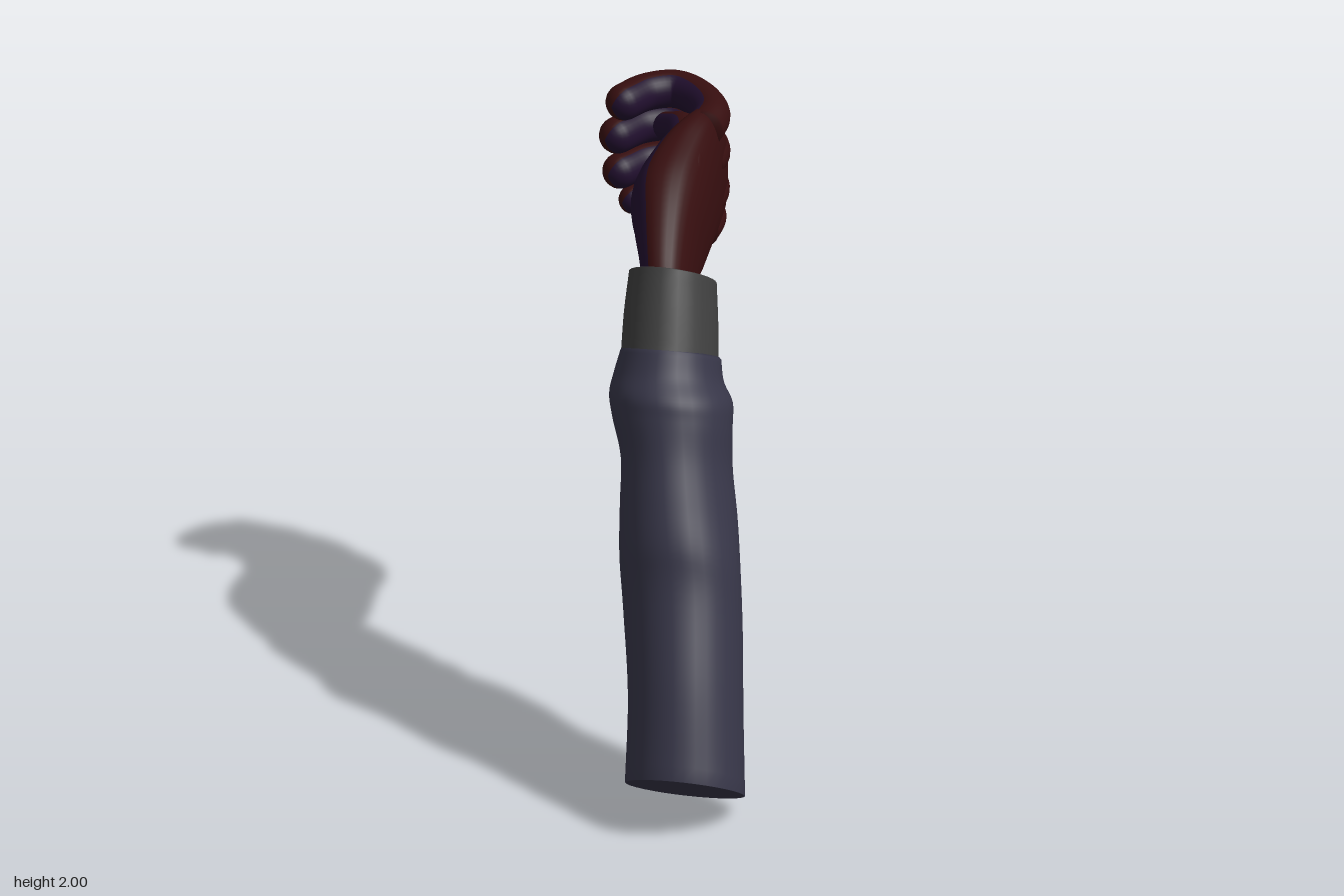
import * as THREE from 'three';

const SEG = 32;
const V = (x, y, z) => new THREE.Vector3(x, y, z);

// Ring = centre c with half axes u and v; u x v points along the loft.
const scaled = (r, s, shift = V(0, 0, 0)) => ({
  c: r.c.clone().add(shift), u: r.u.clone().multiplyScalar(s), v: r.v.clone().multiplyScalar(s),
});

// Skin the rings; group 1 holds the faces on the -v (palm) side.
function loft(rings, { power = 1, capStart = true, capEnd = true, palmLimit = -2 } = {}) {
  const pos = [];
  const main = [], palm = [];
  const bend = (t) => Math.sign(t) * Math.abs(t) ** power;
  for (const r of rings) {
    for (let j = 0; j < SEG; j++) {
      const a = (j / SEG) * Math.PI * 2;
      const p = r.c.clone().addScaledVector(r.u, bend(Math.cos(a))).addScaledVector(r.v, bend(Math.sin(a)));
      pos.push(p.x, p.y, p.z);
    }
  }
  const n = rings.length;
  const first = n * SEG, last = first + 1;
  pos.push(...rings[0].c.toArray(), ...rings[n - 1].c.toArray());
  for (let j = 0; j < SEG; j++) {
    const k = (j + 1) % SEG;
    const out = Math.sin(((j + 0.5) / SEG) * Math.PI * 2) < palmLimit ? palm : main;
    for (let i = 0; i < n - 1; i++) {
      const a = i * SEG + j, b = i * SEG + k;
      out.push(a, b, b + SEG, a, b + SEG, a + SEG);
    }
    if (capStart) out.push(first, k, j);
    if (capEnd) out.push(last, (n - 1) * SEG + j, (n - 1) * SEG + k);
  }
  const g = new THREE.BufferGeometry();
  g.setAttribute('position', new THREE.Float32BufferAttribute(pos, 3));
  g.setIndex([...main, ...palm]);
  g.addGroup(0, main.length, 0);
  g.addGroup(main.length, palm.length, 1);
  g.computeVertexNormals();
  return g;
}

// Sections [upper z, upper y, lower z, lower y, min x, max x] -> smooth rings.
function smoothRings(sections, steps) {
  const curve = (f) => new THREE.CatmullRomCurve3(sections.map(f), false, 'catmullrom', 0.5);
  const c = curve(([az, ay, bz, by, x0, x1]) => V((x0 + x1) / 2, (ay + by) / 2, (az + bz) / 2));
  const u = curve(([az, ay, bz, by]) => V(0, (ay - by) / 2, (az - bz) / 2));
  const v = curve(([, , , , x0, x1]) => V((x1 - x0) / 2, 0, 0));
  return Array.from({ length: steps + 1 }, (_, i) => {
    const t = i / steps;
    return { c: c.getPoint(t), u: u.getPoint(t), v: v.getPoint(t) };
  });
}

// Digit: a tube with round ends; height and depth radii taper to the tip.
function digit(points, up, r0, r1, deep = 1) {
  const curve = new THREE.CatmullRomCurve3(points);
  const rings = [];
  const steps = 24;
  const ring = (t, s, push) => {
    const tan = curve.getTangentAt(t);
    const r = THREE.MathUtils.lerp(r0, r1, t);
    const v = tan.clone().cross(up).normalize();
    const u = v.clone().cross(tan).normalize();
    rings.push({
      c: curve.getPointAt(t).addScaledVector(tan, push * r),
      u: u.multiplyScalar(r * s), v: v.multiplyScalar(r * s * deep),
    });
  };
  for (let i = 0; i <= steps; i++) ring(i / steps, 1, 0);
  for (let i = 1; i <= 6; i++) {
    const a = (i / 6.2) * Math.PI / 2;
    ring(1, Math.cos(a), Math.sin(a));
  }
  return loft(rings, { palmLimit: -0.4 });
}

export function createModel() {
  const group = new THREE.Group();
  const material = (name, color) => {
    const m = new THREE.MeshStandardMaterial({ color });
    m.name = name;
    return m;
  };
  const cloth = material('sleeve slate', 0x363547);
  const grey = material('cuff grey', 0x3e3e3e);
  const red = material('glove dark red', 0x360e0f);
  const purple = material('palm dark purple', 0x210f2e);
  const add = (name, geometry, mat) => {
    const mesh = new THREE.Mesh(geometry, mat);
    mesh.name = name;
    group.add(mesh);
  };

  // Sleeve with soft folds, closed at both ends
  const sleeve = smoothRings([
    [0.93, 0.22, 0.54, 0.0, 0.01, 0.41],
    [0.79, 0.50, 0.42, 0.22, -0.01, 0.375],
    [0.63, 0.77, 0.29, 0.42, -0.06, 0.34],
    [0.57, 0.91, 0.20, 0.63, -0.09, 0.315],
    [0.50, 1.03, 0.07, 0.80, -0.11, 0.28],
    [0.42, 1.16, -0.01, 0.95, -0.125, 0.245],
    [0.365, 1.27, -0.045, 1.09, -0.165, 0.235],
    [0.335, 1.33, -0.10, 1.17, -0.185, 0.225],
    [0.27, 1.39, -0.125, 1.22, -0.18, 0.185],
    [0.215, 1.46, -0.165, 1.27, -0.168, 0.165],
  ], 54);
  const end = sleeve[sleeve.length - 1];
  add('sleeve', loft([
    scaled(sleeve[0], 0.9), scaled(sleeve[0], 0.97), ...sleeve,
    scaled(end, 0.96, V(0, 0.006, -0.003)), scaled(end, 0.85),
  ]), cloth);

  // Hollow cuff with a thin rim
  const cuff = smoothRings([
    [0.22, 1.45, -0.155, 1.26, -0.165, 0.158],
    [0.145, 1.575, -0.21, 1.375, -0.17, 0.142],
    [0.07, 1.695, -0.265, 1.485, -0.168, 0.122],
  ], 8);
  const rim = cuff[8];
  add('cuff', loft([
    ...cuff, scaled(rim, 0.995, V(0, 0.002, -0.001)),
    scaled(rim, 0.94, V(0, 0.002, -0.001)), scaled(rim, 0.93), scaled(cuff[4], 0.93), scaled(cuff[1], 0.92),
  ], { capStart: false }), grey);

  // Wrist and palm
  const palm = smoothRings([
    [0.11, 1.57, -0.18, 1.42, -0.10, 0.06],
    [0.045, 1.69, -0.25, 1.49, -0.125, 0.05],
    [-0.10, 1.825, -0.38, 1.465, -0.18, 0.045],
    [-0.25, 1.915, -0.47, 1.46, -0.22, 0.045],
    [-0.42, 1.965, -0.56, 1.468, -0.19, 0.04],
    [-0.55, 1.985, -0.63, 1.485, -0.14, 0.035],
    [-0.67, 1.975, -0.70, 1.515, -0.10, 0.03],
  ], 36);
  const knuckles = palm[palm.length - 1];
  add('palm', loft([
    ...palm, scaled(knuckles, 0.92, V(0, 0, -0.02)), scaled(knuckles, 0.7, V(0, 0, -0.03)),
  ], { power: 0.85, palmLimit: -0.4 }), [red, purple]);

  // Curled fingers: [name, base y, tip y, radius, x reach, z reach]
  const up = V(0, 1, 0);
  const bendPath = [[0, 0.12], [0, 0], [-0.075, -0.12], [-0.17, -0.172], [-0.265, -0.125], [-0.325, -0.02]];
  for (const [name, y0, y1, r, sx, sz] of [
    ['indexFinger', 1.918, 1.935, 0.066, 0.93, 0.95],
    ['middleFinger', 1.79, 1.812, 0.066, 1, 1],
    ['ringFinger', 1.655, 1.685, 0.064, 0.97, 0.93],
    ['littleFinger', 1.55, 1.588, 0.052, 0.83, 0.65],
  ]) {
    const points = bendPath.map(([x, z], i) =>
      V(-0.03 + x * sx, THREE.MathUtils.lerp(y0, y1, Math.min(1, i / 3)), -0.7 + z * (z > 0 ? 1 : sz)));
    add(name, digit(points, up, r, r * 0.95, 0.97), [red, purple]);
  }

  // Thumb folded over the palm beside the index finger
  add('thumb', digit([
    V(-0.05, 1.77, -0.24), V(-0.055, 1.88, -0.42), V(-0.095, 1.91, -0.58), V(-0.18, 1.865, -0.71),
  ], up, 0.075, 0.05), [red, purple]);

  return group;
}
